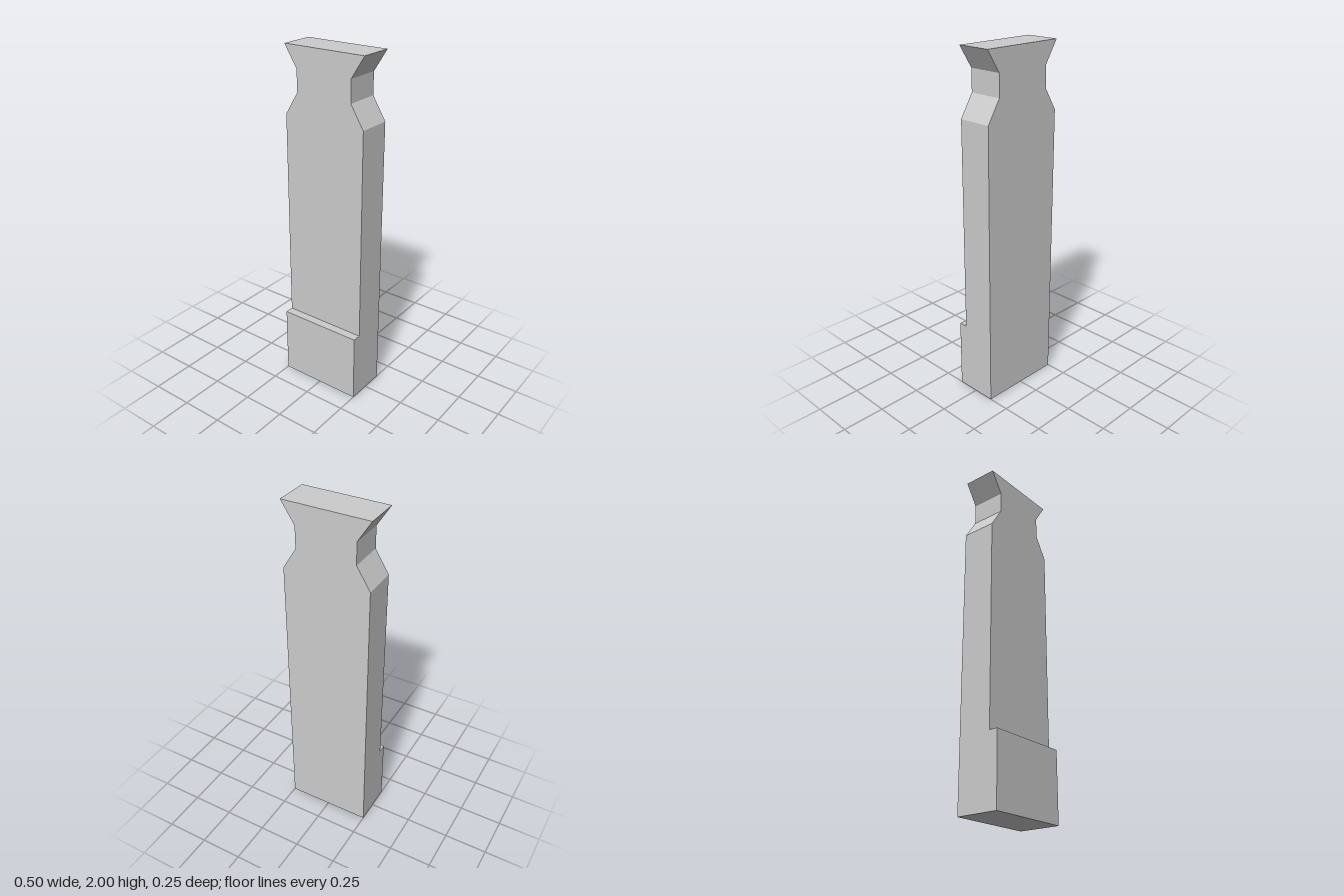
import * as THREE from 'three';

const HALF_WIDTH = 0.25;
const NECK = 0.172;
const BACK = -0.125;
const FACE = 0.075;
const FRONT = 0.125;
const STEP_HEIGHT = 0.405;

export function createModel() {
  const group = new THREE.Group();
  group.name = 'post';
  const material = new THREE.MeshStandardMaterial({ color: 0xcccccc, flatShading: true });

  // Upright slab: right half of the outline, mirrored for the left
  const half = [
    [HALF_WIDTH, 0], [HALF_WIDTH, 1.627], [NECK, 1.753],
    [NECK, 1.878], [HALF_WIDTH, 2],
  ];
  const mirrored = half.map(([x, y]) => [-x, y]).reverse();
  const outline = new THREE.Shape([...half, ...mirrored].map(([x, y]) => new THREE.Vector2(x, y)));
  const slabGeometry = new THREE.ExtrudeGeometry(outline, { depth: FACE - BACK, bevelEnabled: false });
  slabGeometry.translate(0, 0, BACK);
  const slab = new THREE.Mesh(slabGeometry, material);
  slab.name = 'notchedSlab';
  group.add(slab);

  // Thicker foot stepping out at the front
  const foot = new THREE.Mesh(
    new THREE.BoxGeometry(HALF_WIDTH * 2, STEP_HEIGHT, FRONT - FACE),
    material,
  );
  foot.position.set(0, STEP_HEIGHT / 2, (FRONT + FACE) / 2);
  foot.name = 'footStep';
  group.add(foot);

  return group;
}
